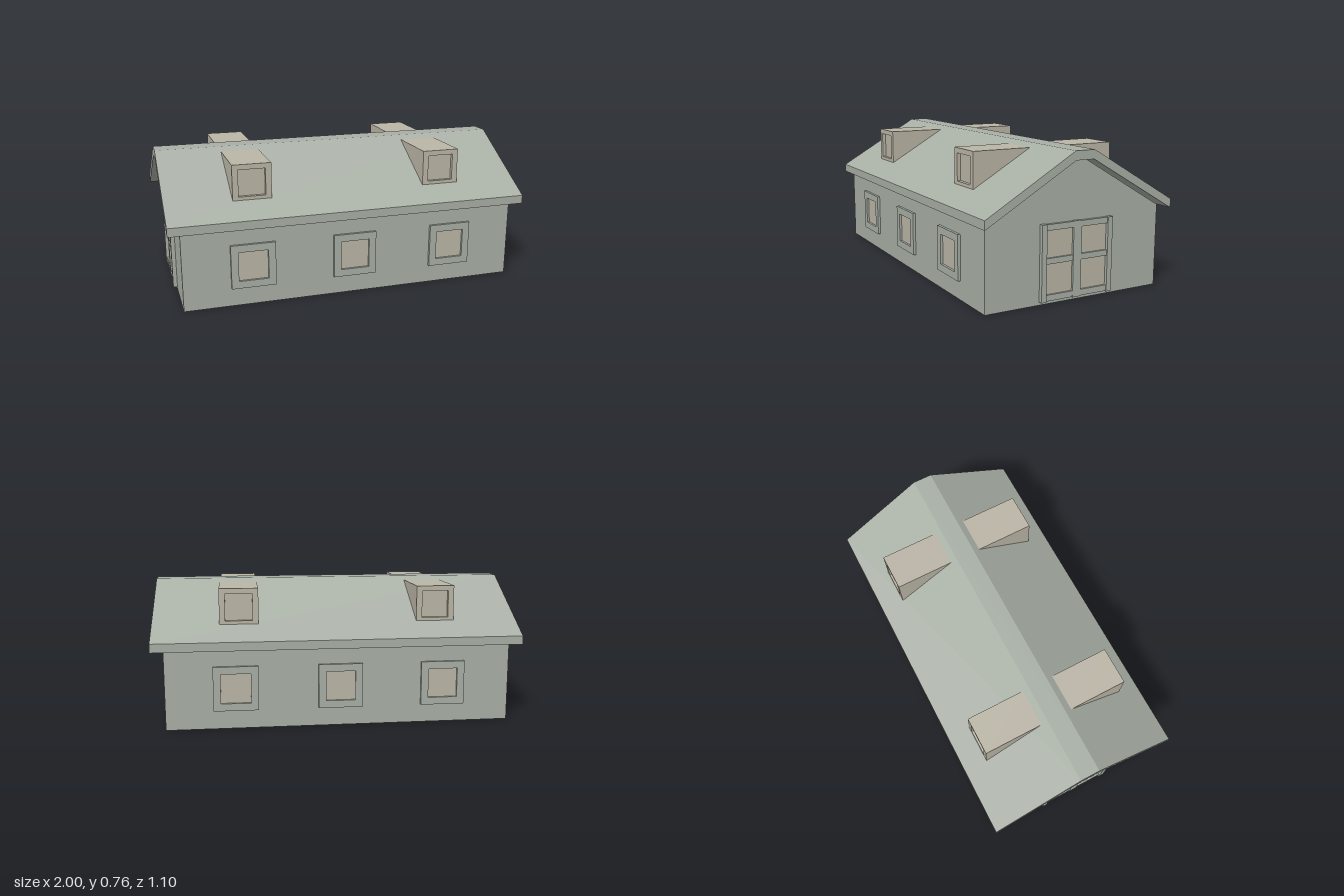
import * as THREE from 'three';

const GREEN = new THREE.MeshStandardMaterial({ color: 0xa8afa5, flatShading: true });
const BEIGE = new THREE.MeshStandardMaterial({ color: 0xbab5a6, flatShading: true });

function add(parent, name, geometry, material) {
  const mesh = new THREE.Mesh(geometry, material);
  mesh.name = name;
  parent.add(mesh);
  return mesh;
}

// Box given by its minimum and maximum corners
function box(parent, name, [x0, y0, z0], [x1, y1, z1], material) {
  const g = new THREE.BoxGeometry(x1 - x0, y1 - y0, z1 - z0);
  g.translate((x0 + x1) / 2, (y0 + y1) / 2, (z0 + z1) / 2);
  return add(parent, name, g, material);
}

// Profile in (z, y), extruded along x and centred
function alongX(points, length) {
  const shape = new THREE.Shape(points.map(([z, y]) => new THREE.Vector2(-z, y)));
  const g = new THREE.ExtrudeGeometry(shape, { depth: length, bevelEnabled: false });
  g.translate(0, 0, -length / 2);
  return g.rotateY(Math.PI / 2);
}

// Rectangle with a rectangular opening, extruded from z0 to z1
function frame(w, h, holeW, holeH, z0, z1) {
  const rect = (P, a, b) => new P([[-a, -b], [a, -b], [a, b], [-a, b]]
    .map(([x, y]) => new THREE.Vector2(x / 2, y / 2)));
  const shape = rect(THREE.Shape, w, h);
  shape.holes.push(rect(THREE.Path, holeW, holeH));
  const g = new THREE.ExtrudeGeometry(shape, { depth: z1 - z0, bevelEnabled: false });
  return g.translate(0, 0, z0);
}

// Wall window, facing +z
function createWindow(x) {
  const win = new THREE.Group();
  win.name = 'window';
  win.position.set(x, 0.22, 0);
  add(win, 'windowFrame', frame(0.24, 0.24, 0.16, 0.16, 0.5, 0.53), GREEN);
  box(win, 'windowPane', [-0.082, -0.082, 0.5], [0.082, 0.082, 0.517], BEIGE);
  return win;
}

// Dormer with a recessed window, facing +z
function createDormer(x) {
  const dormer = new THREE.Group();
  dormer.name = 'dormer';
  dormer.position.set(x, 0.641, 0);
  add(dormer, 'dormerShell', frame(0.21, 0.202, 0.146, 0.146, 0.088, 0.422), BEIGE);
  box(dormer, 'dormerPane', [-0.074, -0.074, 0.09], [0.074, 0.074, 0.402], BEIGE);
  return dormer;
}

// Double door in the +x gable
function createDoor() {
  const door = new THREE.Group();
  door.name = 'door';
  box(door, 'doorPanes', [0.92, 0.017, -0.2], [0.94, 0.4, 0.2], BEIGE);
  for (const s of [-1, 1]) {
    const [a, b] = [s * 0.182, s * 0.211].sort((p, q) => p - q);
    box(door, 'doorStile', [0.92, 0.016, a], [0.957, 0.408, b], GREEN);
  }
  box(door, 'doorCentrePost', [0.92, 0.016, -0.024], [0.952, 0.408, 0.024], GREEN);
  for (const [y0, y1] of [[0.018, 0.05], [0.206, 0.236], [0.375, 0.406]])
    box(door, 'doorRail', [0.92, y0, -0.182], [0.95, y1, 0.182], GREEN);
  return door;
}

export function createModel() {
  const house = new THREE.Group();
  house.name = 'house';

  // Walls with clipped gables
  add(house, 'walls', alongX([
    [0.515, 0], [-0.515, 0], [-0.515, 0.437], [-0.05, 0.709], [0.05, 0.709], [0.515, 0.437],
  ].reverse(), 1.87), GREEN);

  // Folded roof slab with a flat ridge
  add(house, 'roof', alongX([
    [0.55, 0.475], [0.055, 0.763], [-0.055, 0.763], [-0.55, 0.475],
    [-0.55, 0.428], [-0.052, 0.716], [0.052, 0.716], [0.55, 0.428],
  ], 2), GREEN);

  // Windows and dormers on the two long sides, doors in the two gables
  for (const turn of [0, Math.PI]) {
    const side = new THREE.Group();
    side.name = turn ? 'backSide' : 'frontSide';
    side.rotation.y = turn;
    for (const x of [-0.562, 0, 0.562]) side.add(createWindow(x));
    for (const x of [-0.538, 0.538]) side.add(createDormer(x));
    side.add(createDoor());
    house.add(side);
  }
  return house;
}
